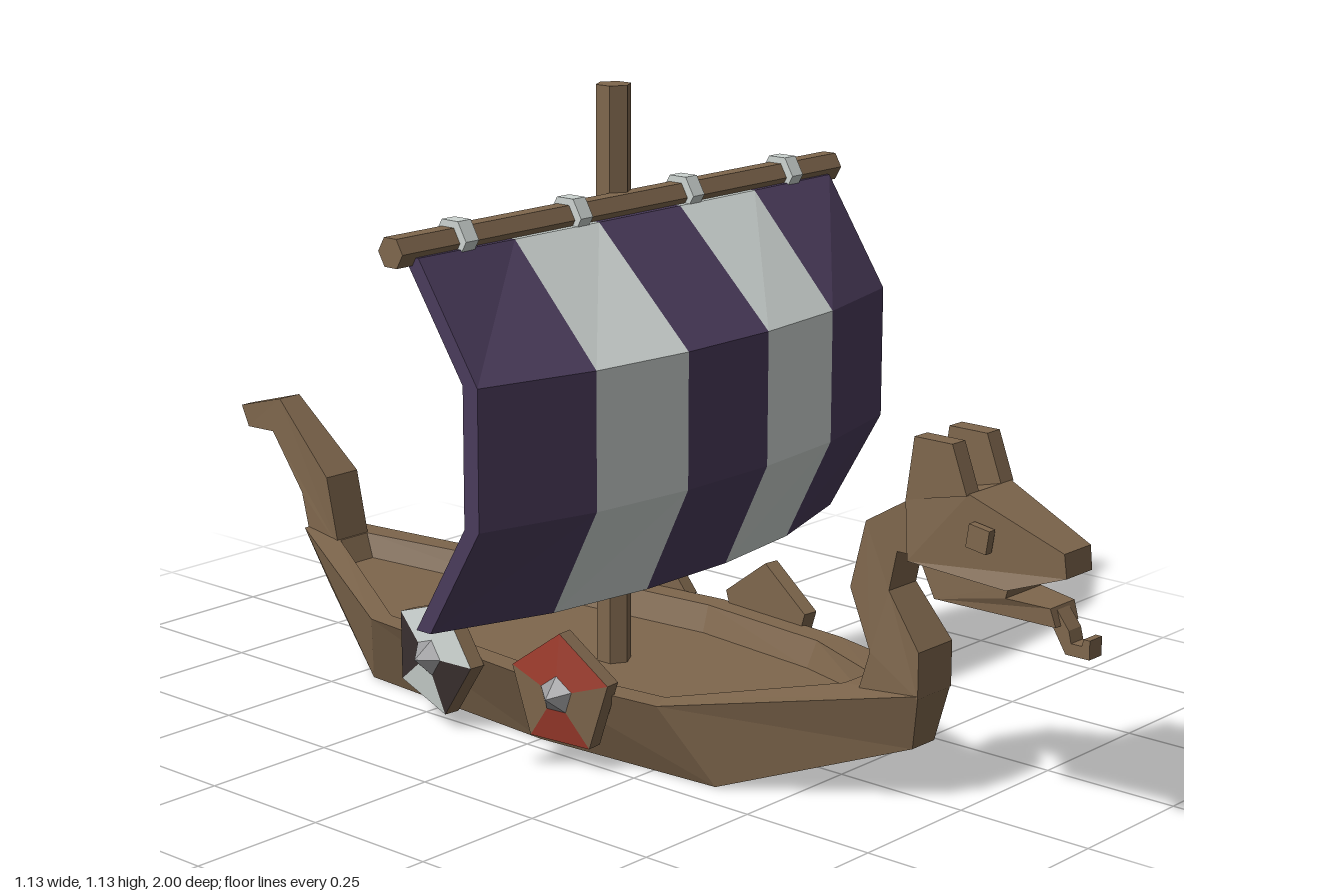
import * as THREE from 'three';

const paint = (name, color) => {
  const m = new THREE.MeshStandardMaterial({ color });
  m.name = name;
  return m;
};

// Unshared corners give crisp low-poly facets
function facet(geo) {
  const g = geo.index ? geo.toNonIndexed() : geo;
  g.computeVertexNormals();
  return g;
}

// Side outline of [z, y] points, thickened along x by a half-width rule
function slab(points, halfWidth, x0 = 0) {
  const shape = new THREE.Shape(points.map(p => new THREE.Vector2(...p)));
  const g = new THREE.ExtrudeGeometry(shape, { depth: 2, bevelEnabled: false });
  g.translate(0, 0, -1).rotateY(-Math.PI / 2);
  const p = g.attributes.position;
  for (let i = 0; i < p.count; i++) p.setX(i, x0 + p.getX(i) * halfWidth(p.getZ(i), p.getY(i)));
  return facet(g);
}

// Open hull lofted along z; each station lists bilge, rim, inner rim and deck corners
function hullGeometry() {
  const stations = [
    [[.03, .09, -.74], [.045, .195, -.79], [.035, .185, -.70], [.03, .14, -.68]],
    [[.18, 0, -.46], [.24, .14, -.40], [.20, .14, -.39], [.185, .09, -.385]],
    [[.215, 0, 0], [.28, .14, 0], [.235, .14, 0], [.22, .09, 0]],
    [[.19, 0, .38], [.25, .14, .30], [.205, .14, .28], [.19, .09, .27]],
    [[.03, .095, .67], [.045, .195, .69], [.035, .18, .53], [.03, .14, .52]],
  ].map(s => [...s, ...s.slice().reverse().map(([x, y, z]) => [-x, y, z])]);
  const out = [];
  const quad = (a, b, c, d) => out.push(...a, ...b, ...c, ...a, ...c, ...d);
  for (let i = 0; i < 4; i++) {
    const s = stations[i], t = stations[i + 1];
    for (let j = 0; j < 8; j++) quad(s[j], s[(j + 1) % 8], t[(j + 1) % 8], t[j]);
  }
  // Stem, rim and inner wall at each end
  const stern = stations[0], bow = stations[4];
  for (let k = 0; k < 3; k++) {
    quad(bow[k], bow[k + 1], bow[6 - k], bow[7 - k]);
    quad(stern[7 - k], stern[6 - k], stern[k + 1], stern[k]);
  }
  const g = new THREE.BufferGeometry();
  g.setAttribute('position', new THREE.Float32BufferAttribute(out, 3));
  return facet(g);
}

// One billowing cloth strip: a box whose corners follow the sail curve
function sailStrip(left, right) {
  const rows = [[.28, .15, .05], [.475, .243, .165], [.715, .243, .165], [.91, .04, .035]];
  const fullness = x => (Math.abs(x) < .2 ? 1 : Math.abs(x) < .4 ? .72 : 0);
  const g = new THREE.BoxGeometry(1, 1, 1, 1, 3, 1);
  const p = g.attributes.position;
  for (let i = 0; i < p.count; i++) {
    const x = p.getX(i) < 0 ? left : right;
    const [y, mid, edge] = rows[Math.round((p.getY(i) + .5) * 3)];
    const front = edge + (mid - edge) * fullness(x);
    p.setXYZ(i, x, y, p.getZ(i) > 0 ? front : front - .033);
  }
  return facet(g);
}

export function createModel() {
  const wood = paint('wood', 0x7f674d);
  const purple = paint('purple cloth', 0x4a3b5b);
  const pale = paint('pale cloth', 0xcdd4d1);
  const metal = paint('metal', 0x99999b);
  const teal = paint('teal paint', 0x86bba8);
  const tan = paint('tan paint', 0xcfbd8b);
  const red = paint('red paint', 0x9c3a2b);
  const black = paint('black paint', 0x39302f);

  const model = new THREE.Group();
  model.name = 'longship';
  const add = (name, geo, mat, parent = model) => {
    const m = new THREE.Mesh(geo, mat);
    m.name = name;
    parent.add(m);
    return m;
  };

  add('hull', hullGeometry(), wood);

  // Carved figurehead at the bow
  const head = new THREE.Group();
  head.name = 'figurehead';
  model.add(head);
  add('neck', slab([[.69, .19], [.69, .27], [.62, .36], [.635, .43], [.70, .43], [.70, .535],
    [.67, .53], [.57, .47], [.54, .35], [.59, .25], [.565, .17]],
  (z, y) => (y < .3 ? .046 : .037)), wood, head);
  const taper = z => THREE.MathUtils.clamp(.07 - (z - .8) * .21, .034, .07);
  add('skull', slab([[.67, .53], [.79, .56], [.96, .49], [.965, .45], [.865, .415], [.68, .43]],
    (z, y) => taper(z) - Math.max(0, y - .5) * .2), wood, head);
  add('jaw', slab([[.70, .435], [.865, .42], [.86, .40], [.935, .395], [.945, .365], [.73, .375]],
    z => taper(z) - .008), wood, head);
  add('tongue', slab([[.935, .392], [.96, .36], [.965, .34], [.985, .34], [.988, .352], [1, .352],
    [1, .32], [.955, .32], [.925, .368]], () => .017), wood, head);
  for (const s of [-1, 1]) {
    add('ear', slab([[.67, .53], [.685, .638], [.76, .638], [.79, .558]], () => .017, s * .047), wood, head);
    const eye = add('eye', facet(new THREE.BoxGeometry(.016, .04, .04)), wood, head);
    eye.position.set(s * .066, .495, .82);
    eye.rotation.x = .15;
  }

  // Curled stern post
  add('sternPost', slab([[-.70, .17], [-.73, .305], [-.875, .435], [-1, .40], [-.98, .36],
    [-.90, .365], [-.81, .26], [-.79, .19]],
  z => THREE.MathUtils.clamp(.04 - (-.73 - z) * .1, .014, .04)), wood);

  // Mast and yard
  add('mast', facet(new THREE.CylinderGeometry(.032, .032, 1.05, 6)), wood).position.set(0, .605, -.022);
  const yard = add('yard', facet(new THREE.CylinderGeometry(.028, .028, 1.13, 6)), wood);
  yard.rotation.z = Math.PI / 2;
  yard.position.set(0, .92, .007);
  for (const x of [-.42, -.145, .145, .42]) {
    const ring = add('yardBinding', facet(new THREE.CylinderGeometry(.037, .037, .03, 6)), pale);
    ring.rotation.z = Math.PI / 2;
    ring.position.set(x, .924, .012);
  }

  // Striped sail
  const edges = [-.53, -.31, -.105, .105, .31, .53];
  for (let i = 0; i < 5; i++) add('sailStrip', sailStrip(edges[i], edges[i + 1]), i % 2 ? pale : purple);

  // Five-sided shields hung along the hull
  function shield(side, z, roll, colours) {
    const g = new THREE.Group();
    g.name = 'shield';
    const start = -Math.PI / 2 + roll;
    const part = (name, geo, mat, x) => {
      const m = add(name, geo, mat, g);
      m.rotation.z = -Math.PI / 2;
      m.position.x = x;
    };
    part('shieldBoard', facet(new THREE.CylinderGeometry(.107, .107, .03, 5, 1, false, start)), wood, 0);
    const face = facet(new THREE.ConeGeometry(.107, .014, 5, 1, true, start));
    face.clearGroups();
    for (let i = 0; i < 5; i++) face.addGroup(i * 3, 3, i % 2);
    part('shieldFace', face, colours, .022);
    part('shieldBoss', facet(new THREE.ConeGeometry(.038, .034, 5, 1, false, start)), metal, .038);
    g.position.set(side * .276, .13, z);
    // Follow the curve of the hull side
    const yaw = Math.sign(z) * .1;
    g.rotation.y = side > 0 ? -yaw : Math.PI + yaw;
    model.add(g);
  }
  shield(1, .115, 0, [purple, black]);
  shield(1, -.19, .3, [teal, tan]);
  shield(-1, .115, 0, [red, wood]);
  shield(-1, -.19, -.3, [pale, black]);

  return model;
}
